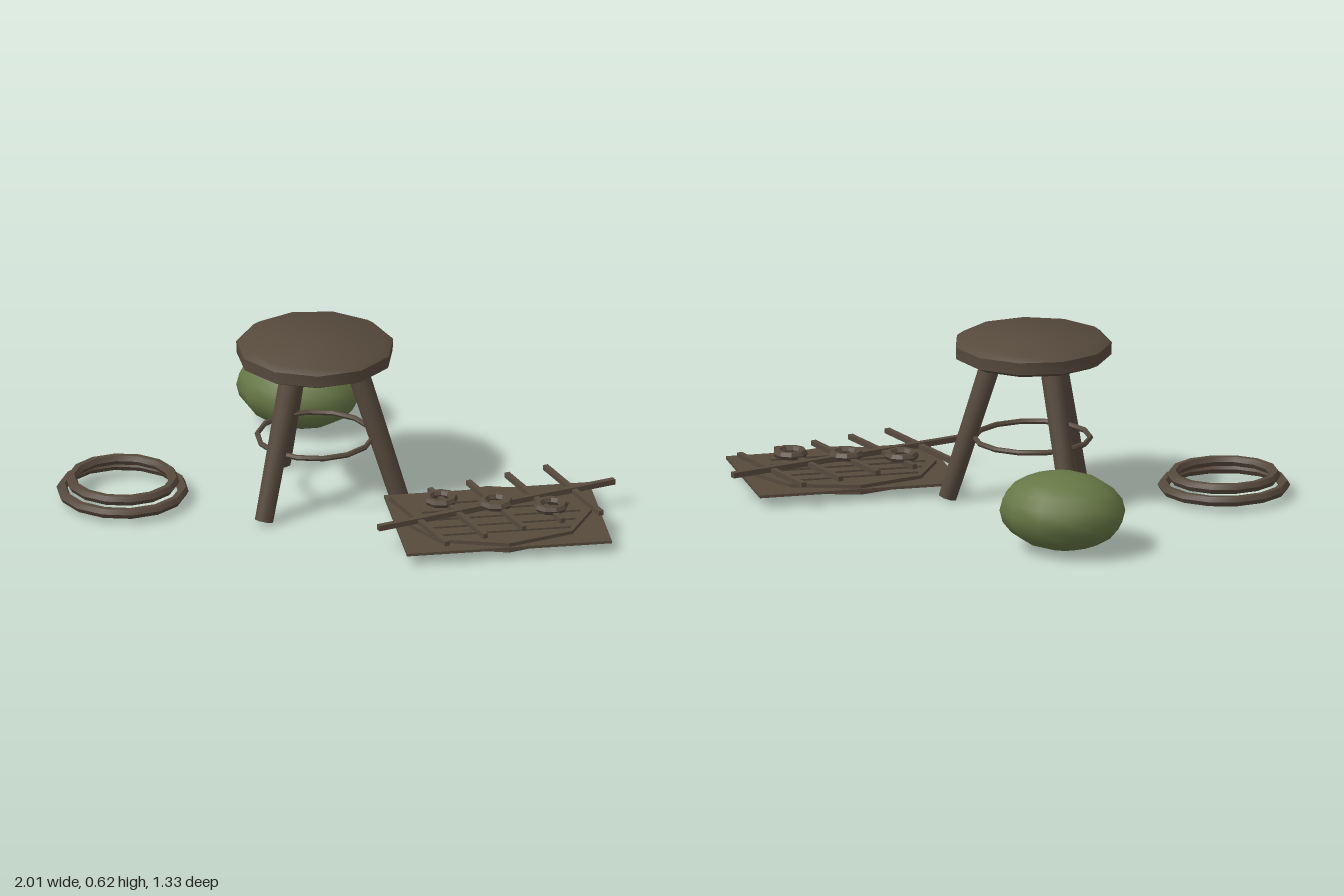
import * as THREE from 'three';
import { toCreasedNormals } from 'three/addons/utils/BufferGeometryUtils.js';

export function createModel() {
  const model = new THREE.Group();
  const wood = new THREE.MeshStandardMaterial({ color: 0x574a3d });
  wood.name = 'dark wood';
  const green = new THREE.MeshStandardMaterial({ color: 0x667745 });
  green.name = 'melon green';

  const add = (parent, name, geometry, x, y, z, material = wood) => {
    const mesh = new THREE.Mesh(geometry, material);
    mesh.name = name;
    mesh.position.set(x, y, z);
    parent.add(mesh);
    return mesh;
  };
  const group = (name, x, y, z, turn = 0) => {
    const g = new THREE.Group();
    g.name = name;
    g.position.set(x, y, z);
    g.rotation.y = turn;
    model.add(g);
    return g;
  };
  const hoop = (radius, tube, sides, segments) =>
    toCreasedNormals(new THREE.TorusGeometry(radius, tube, sides, segments).rotateX(Math.PI / 2), 0.6);

  // Stool: bevelled seat, three splayed legs and a thin hoop
  const stool = group('stool', -0.173, 0, 0.055);
  const profile = [[0, 0.538], [0.25, 0.54], [0.285, 0.557], [0.287, 0.602], [0.262, 0.62], [0, 0.623]]
    .map(([r, y]) => new THREE.Vector2(r, y));
  add(stool, 'seat', toCreasedNormals(new THREE.LatheGeometry(profile, 11), 0.65), 0, 0, 0);
  const up = new THREE.Vector3(0, 1, 0);
  for (let i = 0; i < 3; i++) {
    const a = THREE.MathUtils.degToRad(96.5 + i * 120);
    const foot = new THREE.Vector3(Math.cos(a) * 0.307, 0.014, Math.sin(a) * 0.307);
    const top = new THREE.Vector3(Math.cos(a) * 0.138, 0.56, Math.sin(a) * 0.138);
    const axis = top.clone().sub(foot);
    const mid = foot.clone().add(top).multiplyScalar(0.5);
    const leg = add(stool, 'leg', toCreasedNormals(
      new THREE.CylinderGeometry(0.041, 0.035, axis.length(), 8), 0.9), mid.x, mid.y, mid.z);
    leg.quaternion.setFromUnitVectors(up, axis.normalize());
  }
  add(stool, 'legHoop', hoop(0.21, 0.01, 6, 14), 0, 0.243, 0);

  // Two stacked rings
  const rings = group('stackedRings', -0.76, 0, 0.43);
  add(rings, 'lowerRing', hoop(0.22, 0.02, 6, 14), 0, 0.042, 0);
  add(rings, 'upperRing', hoop(0.186, 0.02, 6, 14), 0, 0.079, 0);

  // Melon
  add(model, 'melon', new THREE.SphereGeometry(1, 12, 10), -0.55, 0.152, -0.47, green)
    .scale.set(0.236, 0.142, 0.2);

  // Mat: a thin sheet around a flat eight-sided core with slats
  const mat = group('mat', 0.55, 0, -0.02, 0.69);
  add(mat, 'sheet', new THREE.BoxGeometry(0.75, 0.01, 0.53), 0, 0.045, 0);
  const core = toCreasedNormals(
    new THREE.CylinderGeometry(1, 1, 0.036, 8).scale(0.345, 1, 0.26), 0.5);
  add(mat, 'core', core, 0, 0.045, 0);
  for (let i = -2; i <= 2; i++) {
    add(mat, 'slat', new THREE.BoxGeometry(0.6 - Math.abs(i) * 0.06, 0.016, 0.035), 0, 0.062, i * 0.07);
  }

  // Rack: one long rod with five cross bars
  const rack = group('rack', 0.54, 0, -0.025, 0.988);
  add(rack, 'longRod', new THREE.BoxGeometry(0.95, 0.02, 0.022), 0, 0.1, 0);
  for (let i = -2; i <= 2; i++) {
    add(rack, 'crossBar', new THREE.BoxGeometry(0.02, 0.018, 0.46), i * 0.155, 0.096, 0);
  }

  // Three small rings lying on the rack
  for (let i = -1; i <= 1; i++) {
    add(model, 'smallRing', hoop(0.048, 0.016, 6, 9), 0.54 + i * 0.187, 0.11, -0.022 - i * 0.075);
  }
  return model;
}
